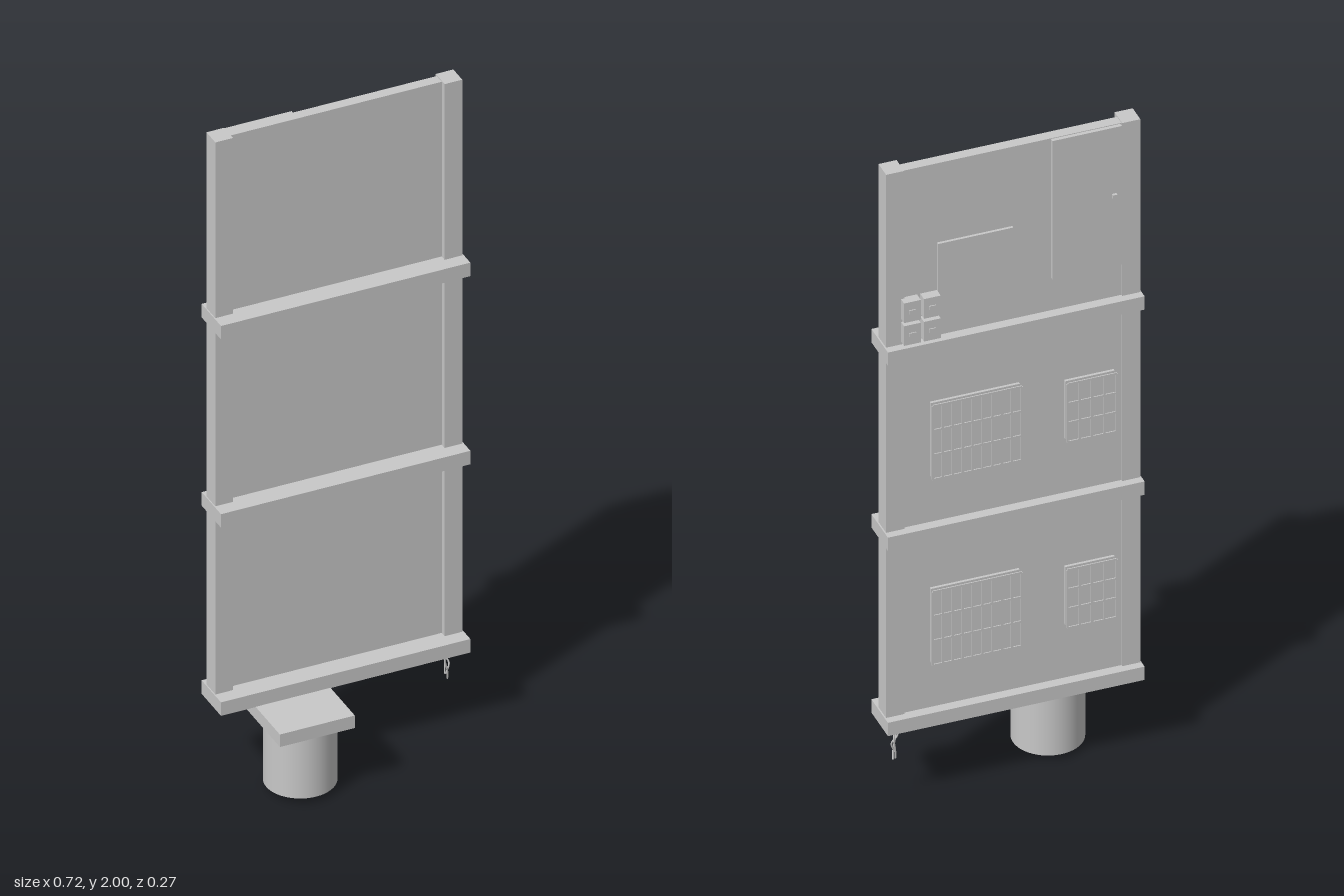
import * as THREE from 'three';

export function createModel() {
  const model = new THREE.Group();
  const grey = new THREE.MeshStandardMaterial({ color: 0xc8c8c8 });
  grey.name = 'light grey';

  const add = (name, geometry, parent = model) => {
    const mesh = new THREE.Mesh(geometry, grey);
    mesh.name = name;
    parent.add(mesh);
    return mesh;
  };
  // Box given by its limits on each axis
  const box = (name, [x0, x1], [y0, y1], [z0, z1], parent) => {
    const mesh = add(name, new THREE.BoxGeometry(x1 - x0, y1 - y0, z1 - z0), parent);
    mesh.position.set((x0 + x1) / 2, (y0 + y1) / 2, (z0 + z1) / 2);
  };
  const drum = (name, r, [y0, y1], x, z) => {
    const mesh = add(name, new THREE.CylinderGeometry(r, r, y1 - y0, 48));
    mesh.position.set(x, (y0 + y1) / 2, z);
  };

  // Wall, corner posts and cross beams
  box('wallPanel', [-0.31, 0.31], [0.25, 1.997], [-0.105, -0.074]);
  box('rightPost', [-0.358, -0.307], [0.24, 2], [-0.111, -0.056]);
  box('leftPost', [0.306, 0.357], [0.242, 2], [-0.111, -0.056]);
  for (const y of [0.242, 0.827, 1.412]) {
    box('crossBeam', [-0.361, 0.361], [y, y + 0.042], [-0.134, -0.015]);
  }

  // Door with its knob, and a board on the upper back wall
  box('door', [-0.304, -0.109], [1.557, 1.995], [-0.116, -0.104]);
  box('doorKnob', [-0.289, -0.276], [1.775, 1.787], [-0.124, -0.115]);
  box('wallBoard', [0, 0.212], [1.535, 1.747], [-0.113, -0.104]);

  // Four switch boxes, each with a small button
  for (const x of [0.212, 0.268]) {
    for (const y of [1.463, 1.535]) {
      box('switchBox', [x, x + 0.047], [y, y + 0.062], [-0.133, -0.105]);
      box('switchButton', [x + 0.014, x + 0.033], [y + 0.025, y + 0.037], [-0.136, -0.132]);
    }
  }

  // Barred window: a thin pane on the wall and a grille standing off it
  const barredWindow = (x0, x1, y0, y1, columns, rows) => {
    const group = new THREE.Group();
    group.name = 'barredWindow';
    model.add(group);
    const front = [-0.129, -0.126];
    box('windowPane', [x0, x1], [y0, y1], [-0.113, -0.104], group);
    for (let i = 0; i <= columns; i++) {
      const x = x0 + ((x1 - x0) * i) / columns;
      box('verticalBar', [x - 0.003, x + 0.003], [y0, y1], front, group);
    }
    for (let i = 0; i <= rows; i++) {
      const y = y0 + ((y1 - y0) * i) / rows;
      box('horizontalBar', [x0, x1], [y - 0.003, y + 0.003], front, group);
    }
  };
  for (const y of [0.43, 1.017]) {
    barredWindow(-0.018, 0.232, y, y + 0.232, 9, 3);
    barredWindow(-0.285, -0.146, y + 0.025, y + 0.208, 4, 3);
  }

  // Motor hanging from its mounting plate
  box('motorPlate', [-0.261, -0.044], [0.204, 0.243], [-0.08, 0.134]);
  drum('motorBody', 0.098, [0.017, 0.205], -0.153, 0.03);
  drum('motorBoss', 0.043, [0, 0.018], -0.153, 0.03);

  // Loose wires under the left post
  const wires = [
    [[0.318, 0.25, -0.08], [0.314, 0.2, -0.073], [0.324, 0.16, -0.078], [0.328, 0.13, -0.086]],
    [[0.325, 0.25, -0.09], [0.332, 0.2, -0.104], [0.327, 0.17, -0.1], [0.325, 0.14, -0.096]],
    [[0.322, 0.25, -0.085], [0.317, 0.21, -0.092], [0.331, 0.18, -0.083], [0.321, 0.15, -0.08]],
  ];
  for (const points of wires) {
    const curve = new THREE.CatmullRomCurve3(points.map((p) => new THREE.Vector3(...p)));
    add('wire', new THREE.TubeGeometry(curve, 20, 0.0025, 6));
  }

  return model;
}
